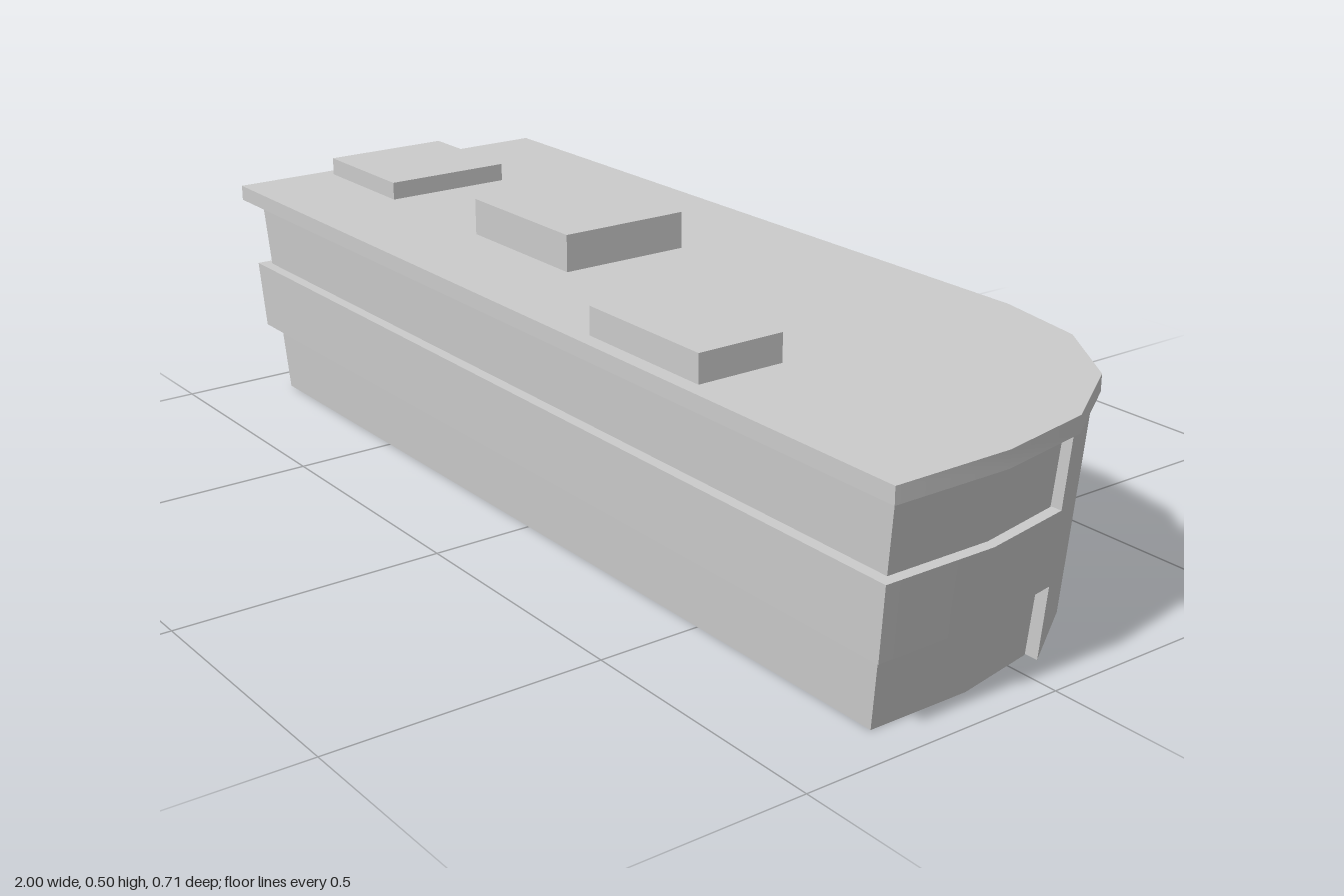
import * as THREE from 'three';
import { toCreasedNormals } from 'three/addons/utils/BufferGeometryUtils.js';

const material = new THREE.MeshStandardMaterial({ color: 0xcccccc });

// Plan of the building as [x, z], with one rounded back corner
const plan = [
  [-1, 0.353], [1, 0.353], [1, 0.13], [0.965, -0.055],
  [0.86, -0.215], [0.7, -0.32], [0.52, -0.353], [-1, -0.353],
];
// Rounded corner bay: three outer plan points closed off inside the walls
const bayPlan = [[0.965, -0.055], [0.86, -0.215], [0.7, -0.32], [0.62, -0.26], [0.86, -0.02]];
bayPlan[3] = [0.67, -0.25];
bayPlan[4] = [0.85, -0.053];

// Half-extents of the sloping walls at height y
const wallSize = (y) => [0.92 + 0.125 * y, 0.308 + 0.0375 * y];
const bandSize = (y) => [0.945 + 0.11 * y, 0.33 + 0.035 * y];
const roofSize = () => [1, 0.353];

// Upright prism over a plan, each level scaled to the given half-extents
function storey(name, points, y0, y1, size) {
  const shape = new THREE.Shape(points.map(([x, z]) => new THREE.Vector2(x, -z)));
  const geometry = new THREE.ExtrudeGeometry(shape, { depth: y1 - y0, bevelEnabled: false });
  geometry.rotateX(-Math.PI / 2).translate(0, y0, 0);
  const p = geometry.attributes.position;
  for (let i = 0; i < p.count; i++) {
    const [sx, sz] = size(p.getY(i));
    p.setX(i, p.getX(i) * sx);
    p.setZ(i, p.getZ(i) * sz / 0.353);
  }
  const mesh = new THREE.Mesh(toCreasedNormals(geometry, 0.6), material);
  mesh.name = name;
  return mesh;
}

// Flat box standing on the roof
function roofBox(name, x0, x1, z0, z1, top) {
  const y0 = 0.43;
  const mesh = new THREE.Mesh(new THREE.BoxGeometry(x1 - x0, top - y0, z1 - z0), material);
  mesh.position.set((x0 + x1) / 2, (top + y0) / 2, (z0 + z1) / 2);
  mesh.name = name;
  return mesh;
}

export function createModel() {
  const group = new THREE.Group();
  group.name = 'building';
  group.add(
    // Recessed floors, projecting band between them and overhanging roof
    storey('lowerWalls', plan, 0, 0.133, wallSize),
    storey('middleBand', plan, 0.133, 0.266, bandSize),
    storey('upperWalls', plan, 0.266, 0.4, wallSize),
    storey('cornerBay', bayPlan, 0, 0.4, bandSize),
    storey('roofSlab', plan, 0.4, 0.43, roofSize),
    // Rooftop units
    roofBox('leftEndRoofUnit', -0.97, -0.715, -0.106, 0.154, 0.465),
    roofBox('middleRoofUnit', -0.4, -0.09, -0.106, 0.154, 0.5),
    roofBox('frontRoofUnit', 0.225, 0.52, 0.155, 0.324, 0.482),
  );
  return group;
}
